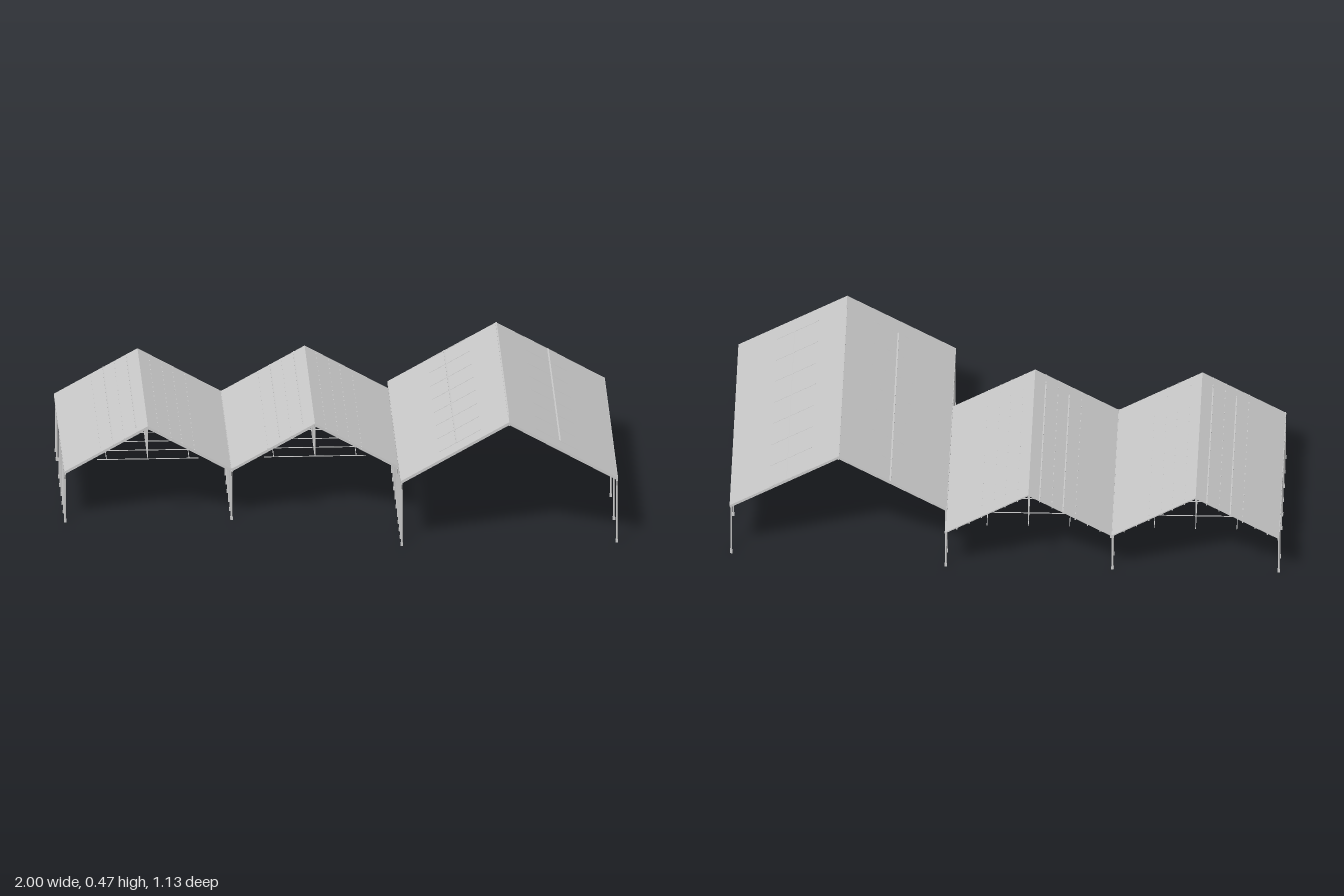
import * as THREE from 'three';

const mat = new THREE.MeshStandardMaterial({ color: 0xcccccc, flatShading: true, side: THREE.DoubleSide });

// straight square bar between two points
function bar(parent, name, a, b, w = 0.004, h = w) {
  const p = new THREE.Vector3(...a), q = new THREE.Vector3(...b);
  const m = new THREE.Mesh(new THREE.BoxGeometry(w, h, p.distanceTo(q)), mat);
  m.name = name;
  m.position.copy(p).add(q).multiplyScalar(0.5);
  m.lookAt(q);
  parent.add(m);
}

// post with foot and forked braces under the eave beam
function post(parent, x, z, top) {
  const g = new THREE.Group();
  g.name = 'post';
  const shaft = new THREE.Mesh(new THREE.CylinderGeometry(0.003, 0.0035, top, 8), mat);
  shaft.name = 'postShaft';
  shaft.position.y = top / 2;
  const foot = new THREE.Mesh(new THREE.BoxGeometry(0.009, 0.012, 0.009), mat);
  foot.name = 'postFoot';
  foot.position.y = 0.006;
  g.add(shaft, foot);
  for (const s of [-1, 1])
    bar(g, 'postBrace', [0, top - 0.025, 0], [0, top, s * 0.016], 0.004);
  g.position.set(x, 0, z);
  parent.add(g);
}

// gabled roof: thin sheet, eave beams, ridge beam and rafters
function roof(name, { cx, half, ridge, eave, z0, z1, rafters }) {
  const g = new THREE.Group();
  g.name = name;
  const t = 0.005;
  const yAt = (d) => ridge - (ridge - eave) * Math.abs(d) / half;
  const s = new THREE.Shape();
  s.moveTo(-half, eave - t);
  s.lineTo(0, ridge - t);
  s.lineTo(half, eave - t);
  s.lineTo(half, eave);
  s.lineTo(0, ridge);
  s.lineTo(-half, eave);
  const sheet = new THREE.Mesh(new THREE.ExtrudeGeometry(s, { depth: z1 - z0, bevelEnabled: false }), mat);
  sheet.name = 'roofSheet';
  sheet.position.set(cx, 0, z0);
  g.add(sheet);
  for (const side of [-1, 1]) {
    const ex = side * (half - 0.004);
    bar(g, 'eaveBeam', [cx + ex, yAt(ex) - 0.007, z0], [cx + ex, yAt(ex) - 0.007, z1], 0.006, 0.012);
    for (const z of rafters)
      bar(g, 'rafter', [cx, ridge - 0.008, z], [cx + ex, yAt(ex) - 0.008, z], 0.004, 0.007);
  }
  bar(g, 'ridgeBeam', [cx, ridge - 0.009, z0], [cx, ridge - 0.009, z1], 0.005, 0.01);
  return { g, yAt };
}

const steps = (from, to, n) => Array.from({ length: n + 1 }, (_, i) => from + (to - from) * i / n);

// low hall with hanging trusses
function lowHall(cx, name) {
  const half = 0.304, z0 = -0.55, z1 = 0.26;
  const frames = steps(-0.523, 0.255, 17);
  const { g, yAt } = roof(name, { cx, half, ridge: 0.368, eave: 0.197, z0, z1, rafters: frames });
  frames.forEach((z, i) => {
    bar(g, 'kingPost', [cx, 0.24, z], [cx, 0.36, z], 0.003);
    if (i % 2) bar(g, 'tieBar', [cx - 0.185, 0.24, z], [cx + 0.185, 0.24, z], 0.0025);
  });
  for (const d of [-0.15, 0, 0.15])
    bar(g, 'longTie', [cx + d, 0.24, -0.56], [cx + d, 0.24, 0.25], 0.0025);
  for (const side of [-1, 1]) {
    // purlins below the sheet
    for (const d of [0.04, 0.085, 0.125, 0.17, 0.215, 0.26])
      bar(g, 'purlin', [cx + side * d, yAt(d) - 0.008, z0], [cx + side * d, yAt(d) - 0.008, z1], 0.004);
    // cleats showing through the upper part of the sheet
    for (const d of [0.04, 0.085, 0.125, 0.17])
      for (const z of frames)
        bar(g, 'cleat', [cx + side * d, yAt(d), z - 0.005], [cx + side * d, yAt(d), z + 0.005], 0.003, 0.002);
  }
  // purlins lying flush on the +x and -x upper slopes
  for (const d of [-0.125, -0.04])
    bar(g, 'flushPurlin', [cx + d, yAt(d) - 0.001, z0], [cx + d, yAt(d) - 0.001, 0.2], 0.005, 0.004);
  return g;
}

// tall hall with a purlin frame showing through the sheet
function tallHall(cx) {
  const half = 0.395, z0 = -0.478, z1 = 0.56;
  const { g, yAt } = roof('tallHall', {
    cx, half, ridge: 0.473, eave: 0.251, z0, z1, rafters: [...steps(-0.474, 0.48, 14), 0.556],
  });
  for (const side of [-1, 1]) {
    const d = 0.188, x = cx + side * d;
    bar(g, 'mainPurlin', [x, yAt(d) - 0.002, z0], [x, yAt(d) - 0.002, 0.48], 0.006, 0.007);
    for (const z of steps(-0.474, 0.48, 7))
      bar(g, 'rafterStub', [cx + side * 0.1, yAt(0.1) - 0.001, z], [cx + side * 0.25, yAt(0.25) - 0.001, z], 0.005, 0.004);
    for (const e of [0.1, 0.29])
      bar(g, 'purlin', [cx + side * e, yAt(e) - 0.008, z0], [cx + side * e, yAt(e) - 0.008, z1], 0.004);
  }
  bar(g, 'ridgeCap', [cx, 0.472, z0], [cx, 0.472, 0.48], 0.005, 0.004);
  return g;
}

export function createModel() {
  const model = new THREE.Group();
  model.name = 'openShed';
  model.add(lowHall(-0.696, 'outerLowHall'), lowHall(-0.089, 'innerLowHall'), tallHall(0.603));

  // rows of posts
  const posts = new THREE.Group();
  posts.name = 'posts';
  const lowRow = [0.255, 0.163, 0.07, -0.022, -0.114, -0.203, -0.385, -0.475];
  for (const z of lowRow) {
    post(posts, -0.996, z, 0.193);
    post(posts, -0.392, z, 0.193);
    post(posts, 0.213, z, 0.193);
    bar(posts, 'postExtension', [0.213, 0.19, z], [0.213, 0.245, z], 0.005);
  }
  for (const z of [0.555, 0.48, 0.403, 0.325]) post(posts, 0.213, z, 0.245);
  for (const z of [0.555, 0.322, 0.08, -0.175, -0.414]) post(posts, 0.994, z, 0.245);
  model.add(posts);
  return model;
}
